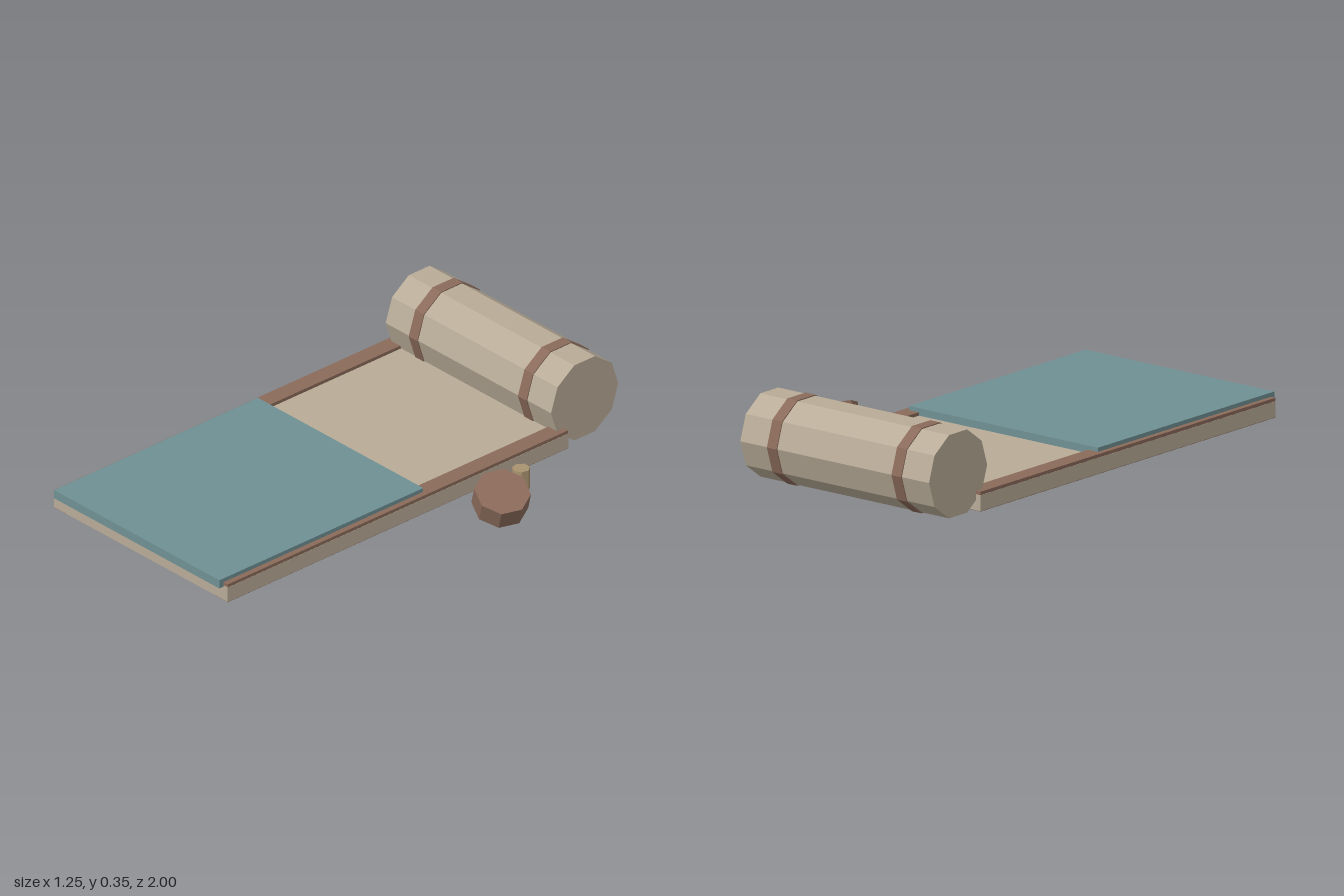
import * as THREE from 'three';

const material = (color) => {
  const m = new THREE.MeshStandardMaterial({ flatShading: true });
  m.color.set(color);
  return m;
};

export function createModel() {
  const model = new THREE.Group();
  model.name = 'bedroll';
  const canvas = material(0xb8ab97);
  const leather = material(0x8a6a5a);
  const cloth = material(0x6f9094);
  const cork = material(0xa8936f);

  const add = (name, geometry, mat, parent = model) => {
    const mesh = new THREE.Mesh(geometry, mat);
    mesh.name = name;
    parent.add(mesh);
    return mesh;
  };
  // Box given by its lower and upper corner
  const box = (name, [x0, y0, z0], [x1, y1, z1], mat) =>
    add(name, new THREE.BoxGeometry(x1 - x0, y1 - y0, z1 - z0), mat)
      .position.set((x0 + x1) / 2, (y0 + y1) / 2, (z0 + z1) / 2);

  // Flat mat with a leather strip along each long side
  box('mat', [-0.627, 0.03, -0.725], [0.329, 0.091, 0.98], canvas);
  box('matTrimRight', [-0.626, 0.028, -0.724], [-0.556, 0.104, 0.979], leather);
  box('matTrimLeft', [0.258, 0.028, -0.724], [0.328, 0.104, 0.979], leather);

  // Blanket over the front half
  box('blanket', [-0.604, 0.085, -0.02], [0.305, 0.12, 1.0], cloth);

  // Ten-sided roll lying along x, with two straps around it
  const roll = new THREE.Group();
  roll.name = 'roll';
  roll.position.set(-0.15, 0.191, -0.828);
  model.add(roll);
  const barrel = (radius, width) =>
    new THREE.CylinderGeometry(radius, radius, width, 10).rotateZ(Math.PI / 2);
  add('rolledBedding', barrel(0.168, 0.909), canvas, roll);
  for (const x of [-0.3, 0.3]) add('rollStrap', barrel(0.172, 0.047), leather, roll).position.x = x;

  // Flask lying tilted beside the mat, its axis leaning left and forward
  const flask = add('flaskBody', new THREE.CylinderGeometry(0.106, 0.106, 0.084, 8), leather);
  flask.position.set(0.509, 0.084, -0.224);
  flask.rotation.set(0.19, 0, -0.38);

  // Upright flask neck at the back
  add('flaskNeck', new THREE.CylinderGeometry(0.034, 0.034, 0.09, 7), cork)
    .position.set(0.483, 0.11, -0.347);

  return model;
}
